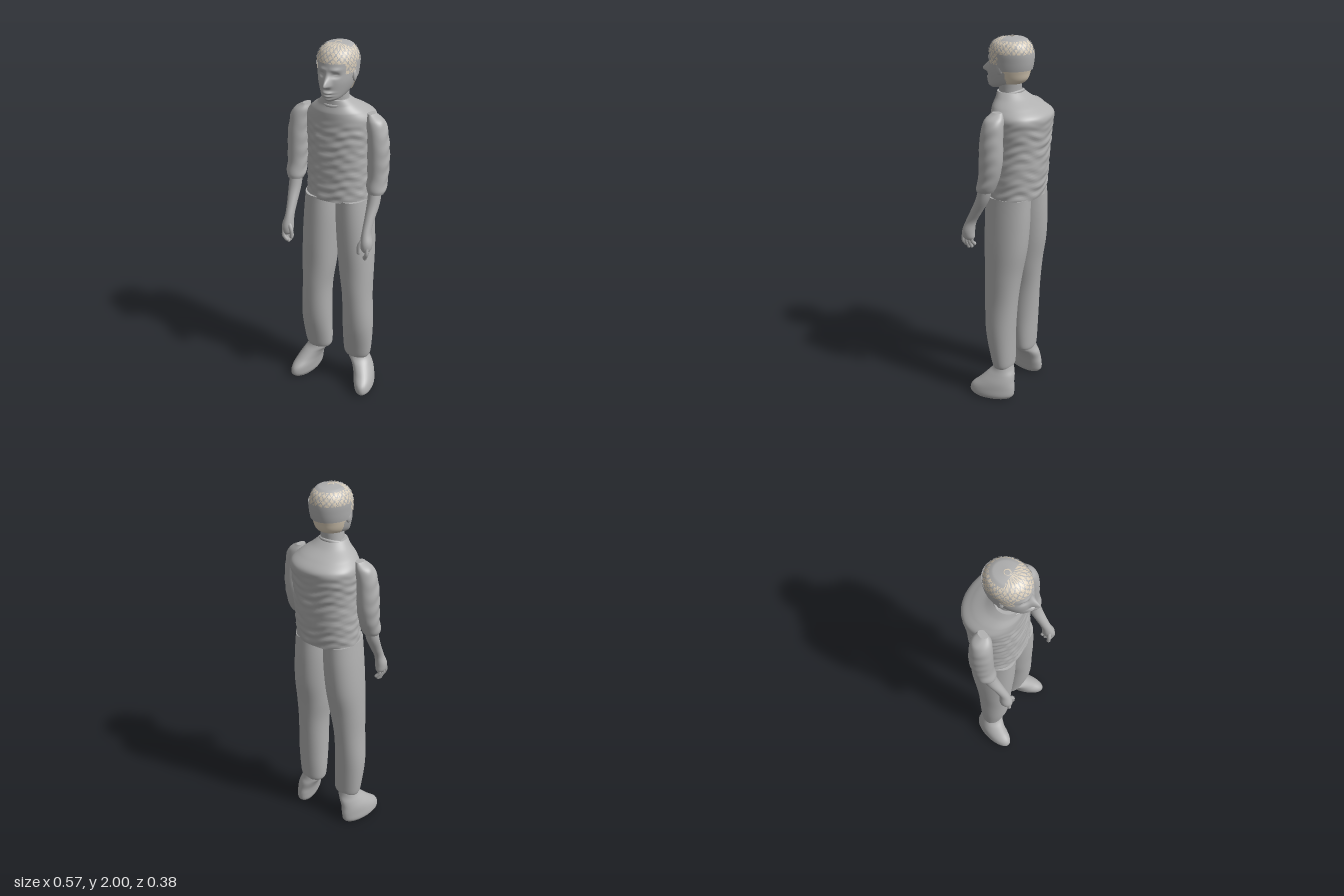
import * as THREE from 'three';

const grey = new THREE.MeshStandardMaterial({ color: 0xb0b0b0, side: THREE.DoubleSide });
grey.name = 'plain grey';
const beige = new THREE.MeshStandardMaterial({ color: 0xdccfba, side: THREE.DoubleSide });
beige.name = 'beige hair';

// Smooth loft through horizontal sections [y, centre x, centre z, radius x, radius z], bottom to top
function loft(sections, { rings = 30, sides = 32, power = 2, yaw = 0, warp, keep } = {}) {
  const list = [...sections].sort((a, b) => a[0] - b[0]);
  const centres = new THREE.CatmullRomCurve3(list.map(s => new THREE.Vector3(s[1], s[0], s[2])));
  const radii = new THREE.CatmullRomCurve3(list.map(s => new THREE.Vector3(s[3], s[0], s[4])));
  const pos = [], index = [];
  const bend = v => Math.sign(v) * Math.abs(v) ** (2 / power);
  for (let i = 0; i <= rings; i++) {
    const c = centres.getPoint(i / rings), r = radii.getPoint(i / rings);
    for (let j = 0; j < sides; j++) {
      const a = (j / sides) * Math.PI * 2;
      const dx = r.x * bend(Math.cos(a)), dz = r.z * bend(Math.sin(a));
      const p = new THREE.Vector3(
        c.x + dx * Math.cos(yaw) + dz * Math.sin(yaw), c.y,
        c.z - dx * Math.sin(yaw) + dz * Math.cos(yaw));
      if (warp) warp(p, a);
      pos.push(p.x, p.y, p.z);
    }
  }
  const wanted = (...ids) => !keep || keep(...[0, 1, 2].map(k =>
    ids.reduce((sum, id) => sum + pos[id * 3 + k], 0) / ids.length));
  for (let i = 0; i < rings; i++) for (let j = 0; j < sides; j++) {
    const a = i * sides + j, b = i * sides + (j + 1) % sides, c = a + sides, d = b + sides;
    if (wanted(a, b, c, d)) index.push(a, c, b, b, c, d);
  }
  // End caps with their own corners, so the rims stay crisp
  if (!keep) for (const ring of [0, rings]) {
    const start = pos.length / 3, p = centres.getPoint(ring / rings);
    for (let j = 0; j < sides * 3; j++) pos.push(pos[ring * sides * 3 + j]);
    pos.push(p.x, p.y, p.z);
    for (let j = 0; j < sides; j++) {
      const a = start + j, b = start + (j + 1) % sides;
      index.push(start + sides, ...(ring ? [b, a] : [a, b]));
    }
  }
  const g = new THREE.BufferGeometry();
  g.setAttribute('position', new THREE.Float32BufferAttribute(pos, 3));
  g.setIndex(index);
  g.computeVertexNormals();
  return g;
}

const bump = (v, mid, width) => Math.exp(-(((v - mid) / width) ** 2));

const HEAD = [
  [1.735, 0.008, 0.11, 0.022, 0.025], [1.75, 0.008, 0.088, 0.05, 0.06],
  [1.78, 0.008, 0.05, 0.072, 0.1], [1.83, 0.008, 0.037, 0.088, 0.112],
  [1.88, 0.008, 0.027, 0.094, 0.114], [1.93, 0.008, 0.022, 0.095, 0.11],
  [1.965, 0.008, 0.02, 0.08, 0.092], [1.985, 0.008, 0.02, 0.05, 0.06],
  [1.992, 0.008, 0.02, 0.008, 0.01],
];

// Nose, lips, chin, brow and eye sockets pressed into the front of the head
function face(p) {
  if (p.z < 0.06) return;
  const x = p.x - 0.008;
  const noseY = p.y < 1.82 ? bump(p.y, 1.82, 0.012) : bump(p.y, 1.82, 0.035);
  let d = 0.042 * noseY * bump(x, 0, 0.015);
  d += 0.014 * bump(p.y, 1.782, 0.007) * bump(x, 0, 0.026);
  d += 0.012 * bump(p.y, 1.766, 0.007) * bump(x, 0, 0.024);
  d += 0.008 * bump(p.y, 1.745, 0.01) * bump(x, 0, 0.025);
  d += 0.006 * bump(p.y, 1.892, 0.01) * bump(Math.abs(x), 0.035, 0.025);
  d -= 0.013 * bump(p.y, 1.865, 0.011) * bump(Math.abs(x), 0.037, 0.017);
  d += 0.005 * bump(p.y, 1.864, 0.005) * bump(Math.abs(x), 0.037, 0.011);
  p.z += d;
}

// A shell lying a little outside the skull, cut to the wanted area
const headShell = (gap, keep) => loft(
  HEAD.map(([y, x, z, rx, rz]) => [y + gap * (y - 1.85) / 0.15, x, z, rx + gap, rz + gap]),
  { rings: 72, sides: 120, keep });

const hairline = z => (z > 0.1 ? 1.922 : z > 0.05 ? 1.87 : z > 0.01 ? 1.835 : 1.77);

export function createModel() {
  const model = new THREE.Group();
  const add = (name, geometry, material = grey, parent = model) => {
    const mesh = new THREE.Mesh(geometry, material);
    mesh.name = name;
    parent.add(mesh);
    return mesh;
  };

  // Shirt body with soft cloth wrinkles
  add('shirt', loft([
    [1.18, 0, -0.01, 0.175, 0.135], [1.3, 0, -0.02, 0.174, 0.14],
    [1.45, 0, -0.027, 0.173, 0.144], [1.56, 0, -0.035, 0.18, 0.147],
    [1.62, 0, -0.038, 0.178, 0.147], [1.66, 0, -0.014, 0.145, 0.122],
    [1.695, 0, 0.012, 0.1, 0.086], [1.725, 0, 0.03, 0.07, 0.066],
  ], {
    rings: 80, sides: 96, power: 2.2,
    warp: (p, a) => {
      const fade = THREE.MathUtils.smoothstep(1.64 - p.y, 0, 0.1);
      const w = Math.sin(p.y * 95 + 2 * Math.sin(a * 3)) * Math.sin(a * 5 + p.y * 17)
        + 0.7 * Math.sin(p.y * 140 + 3 * Math.sin(a * 4 + 1));
      p.x += Math.cos(a) * 0.0022 * w * fade;
      p.z += Math.sin(a) * 0.0028 * w * fade;
    },
  }));
  const collar = add('collar', new THREE.TorusGeometry(0.066, 0.008, 10, 40));
  collar.rotation.x = Math.PI / 2 + 0.25;
  collar.position.set(0, 1.712, 0.032);

  // Neck and head
  add('neck', loft([
    [1.66, 0.004, 0.025, 0.066, 0.064], [1.72, 0.005, 0.028, 0.06, 0.058],
    [1.77, 0.007, 0.03, 0.058, 0.062], [1.82, 0.008, 0.03, 0.06, 0.065],
  ]));
  add('head', loft(HEAD, { rings: 110, sides: 128, warp: face }));
  for (const s of [-1, 1]) {
    const ear = add('ear', new THREE.SphereGeometry(1, 16, 12));
    ear.scale.set(0.01, 0.03, 0.018);
    ear.position.set(0.008 + s * 0.093, 1.85, 0.035);
  }

  // Hair: pale under layer, crossing strands, and smooth back band and crown
  const hair = new THREE.Group();
  hair.name = 'hair';
  model.add(hair);
  add('hairBase', headShell(0.004, (x, y, z) => y > hairline(z)), beige, hair);
  add('hairStrands', headShell(0.007, (x, y, z) => {
    if (y < Math.max(hairline(z), 1.86)) return false;
    const a = Math.atan2(z - 0.02, x - 0.008) * 3.5;
    return [a + y * 32, a * 1.3 - y * 36].some(v => v - Math.floor(v) < 0.24);
  }), grey, hair);
  add('hairBand', headShell(0.01, (x, y, z) => z < 0.04 && y > 1.84 && y < 1.925), grey, hair);
  add('hairCrown', headShell(0.008, (x, y, z) => z < 0.04 && y > 1.984), grey, hair);

  for (const s of [-1, 1]) {
    const side = s > 0 ? 'left' : 'right';
    const mirror = list => list.map(([y, x, ...rest]) => [y, x * s, ...rest]);

    // Sleeve
    add(side + 'Sleeve', loft(mirror([
      [1.655, 0.18, 0, 0.018, 0.028], [1.62, 0.204, 0.005, 0.045, 0.05],
      [1.53, 0.221, 0.01, 0.053, 0.06], [1.42, 0.226, 0.012, 0.056, 0.062],
      [1.33, 0.228, 0.022, 0.053, 0.055], [1.27, 0.229, 0.04, 0.051, 0.05],
      [1.25, 0.229, 0.045, 0.044, 0.044],
    ]), {
      rings: 50, sides: 40,
      warp: (p, a) => { p.x += Math.cos(a) * 0.0018 * Math.sin(p.y * 85 + 2 * Math.sin(a * 2)); },
    }));

    // Forearm running into the palm
    add(side + 'Forearm', loft(mirror([
      [1.28, 0.225, 0.042, 0.034, 0.036], [1.2, 0.226, 0.065, 0.033, 0.036],
      [1.12, 0.223, 0.108, 0.026, 0.032], [1.06, 0.222, 0.14, 0.024, 0.03],
      [1.01, 0.227, 0.153, 0.031, 0.035], [0.975, 0.228, 0.153, 0.027, 0.034],
      [0.96, 0.228, 0.152, 0.016, 0.026],
    ])));

    // Fingers and thumb
    const finger = (name, points, radius) => add(name, new THREE.TubeGeometry(
      new THREE.CatmullRomCurve3(points.map(([x, y, z]) => new THREE.Vector3(x * s, y, z))),
      8, radius, 10));
    const tip = (name, x, y, z, radius) =>
      add(name, new THREE.SphereGeometry(radius, 10, 8)).position.set(x * s, y, z);
    for (let i = 0; i < 4; i++) {
      const z = 0.177 - i * 0.016, x = 0.24 - i * 0.003, end = [0.93, 0.915, 0.918, 0.935][i];
      finger(side + 'Finger', [[x, 0.99, z], [x, 0.955, z + 0.003], [x - 0.014, end, z - 0.004]], 0.0095);
      tip(side + 'Fingertip', x - 0.014, end, z - 0.004, 0.0095);
    }
    finger(side + 'Thumb', [[0.215, 1.03, 0.165], [0.197, 0.995, 0.175], [0.195, 0.955, 0.175]], 0.011);
    tip(side + 'Thumbtip', 0.195, 0.955, 0.175, 0.011);

    // Trouser leg
    add(side + 'TrouserLeg', loft(mirror([
      [1.19, 0.087, -0.005, 0.089, 0.124], [1.05, 0.094, -0.004, 0.096, 0.124],
      [0.9, 0.103, 0, 0.097, 0.118], [0.75, 0.111, 0.01, 0.092, 0.102],
      [0.6, 0.121, 0.018, 0.082, 0.092], [0.4, 0.127, 0.02, 0.085, 0.08],
      [0.25, 0.122, 0.01, 0.081, 0.064], [0.195, 0.12, 0.006, 0.075, 0.057],
      [0.18, 0.12, 0.005, 0.068, 0.052],
    ]), { rings: 50, sides: 40, power: 2.15 }));

    // Shoe, toe turned out
    add(side + 'Shoe', loft(mirror([
      [0, 0.183, 0.047, 0.045, 0.108], [0.02, 0.185, 0.047, 0.055, 0.126],
      [0.06, 0.18, 0.043, 0.057, 0.125], [0.1, 0.168, 0.025, 0.057, 0.1],
      [0.14, 0.148, 0.009, 0.057, 0.078], [0.17, 0.13, 0.003, 0.06, 0.058],
      [0.21, 0.125, 0, 0.05, 0.045],
    ]), { yaw: s * 0.25 }));
  }
  return model;
}
